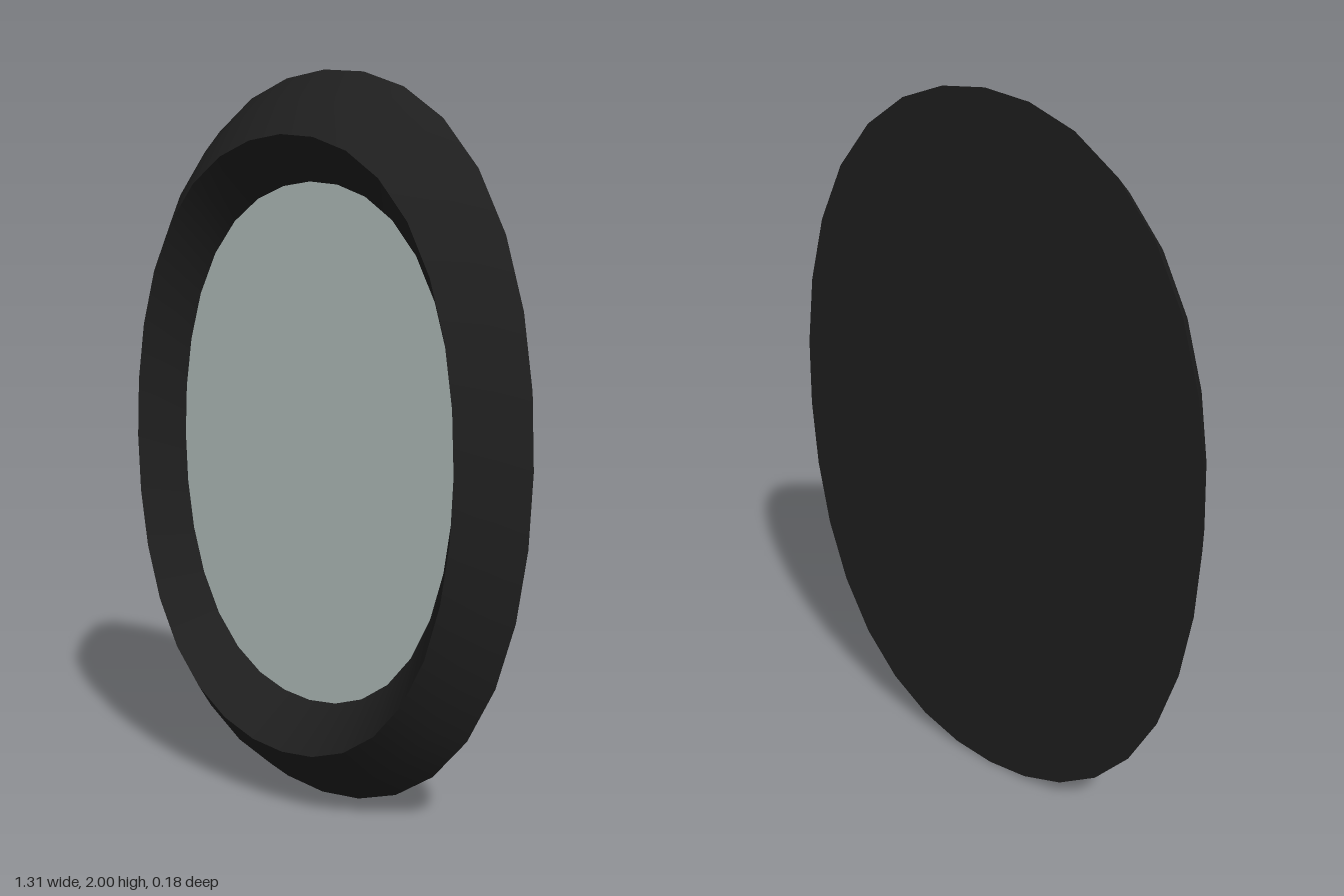
import * as THREE from 'three';

const SIDES = 32;

// Slightly squared oval, counterclockwise seen from the front
function oval(a, b) {
  const points = [];
  for (let i = 0; i < SIDES; i++) {
    const t = (i / SIDES) * Math.PI * 2;
    const r = 1 + 0.036 * Math.sin(2 * t) ** 2;
    points.push(new THREE.Vector2(a * r * Math.cos(t), b * r * Math.sin(t)));
  }
  return points;
}

// Smooth band through a list of ovals [a, b, z]
function band(rings) {
  const positions = [], index = [];
  for (const [a, b, z] of rings) {
    for (const p of oval(a, b)) positions.push(p.x, p.y, z);
  }
  for (let r = 0; r < rings.length - 1; r++) {
    for (let i = 0; i < SIDES; i++) {
      const j = (i + 1) % SIDES;
      const p = r * SIDES, q = p + SIDES;
      index.push(p + i, p + j, q + j, p + i, q + j, q + i);
    }
  }
  const geometry = new THREE.BufferGeometry();
  geometry.setAttribute('position', new THREE.Float32BufferAttribute(positions, 3));
  geometry.setIndex(index);
  geometry.computeVertexNormals();
  return geometry;
}

export function createModel() {
  const group = new THREE.Group();
  group.name = 'ovalMirror';
  const frame = new THREE.MeshStandardMaterial({ color: 0x1f1f1f });
  const glass = new THREE.MeshStandardMaterial({ color: 0xb4c0be });

  function add(name, geometry, material) {
    const mesh = new THREE.Mesh(geometry, material);
    mesh.name = name;
    mesh.position.y = 1;
    group.add(mesh);
    return mesh;
  }

  const back = [0.655, 1, -0.09];
  const middle = [0.607, 0.93, 0];
  const rim = [0.54, 0.825, 0.09];
  const pane = [0.465, 0.71, -0.03];

  // Frame: outer slope up to the rim, then inner slope down to the glass
  add('frameOuter', band([back, middle, rim]), frame);
  add('frameInner', band([rim, pane]), frame);

  // Flat back panel, facing backwards
  const panel = add('backPanel', new THREE.ShapeGeometry(new THREE.Shape(oval(back[0], back[1]))), frame);
  panel.rotation.y = Math.PI;
  panel.position.z = back[2];

  // Mirror glass
  const mirror = add('mirrorGlass', new THREE.ShapeGeometry(new THREE.Shape(oval(pane[0], pane[1]))), glass);
  mirror.position.z = pane[2];

  return group;
}
